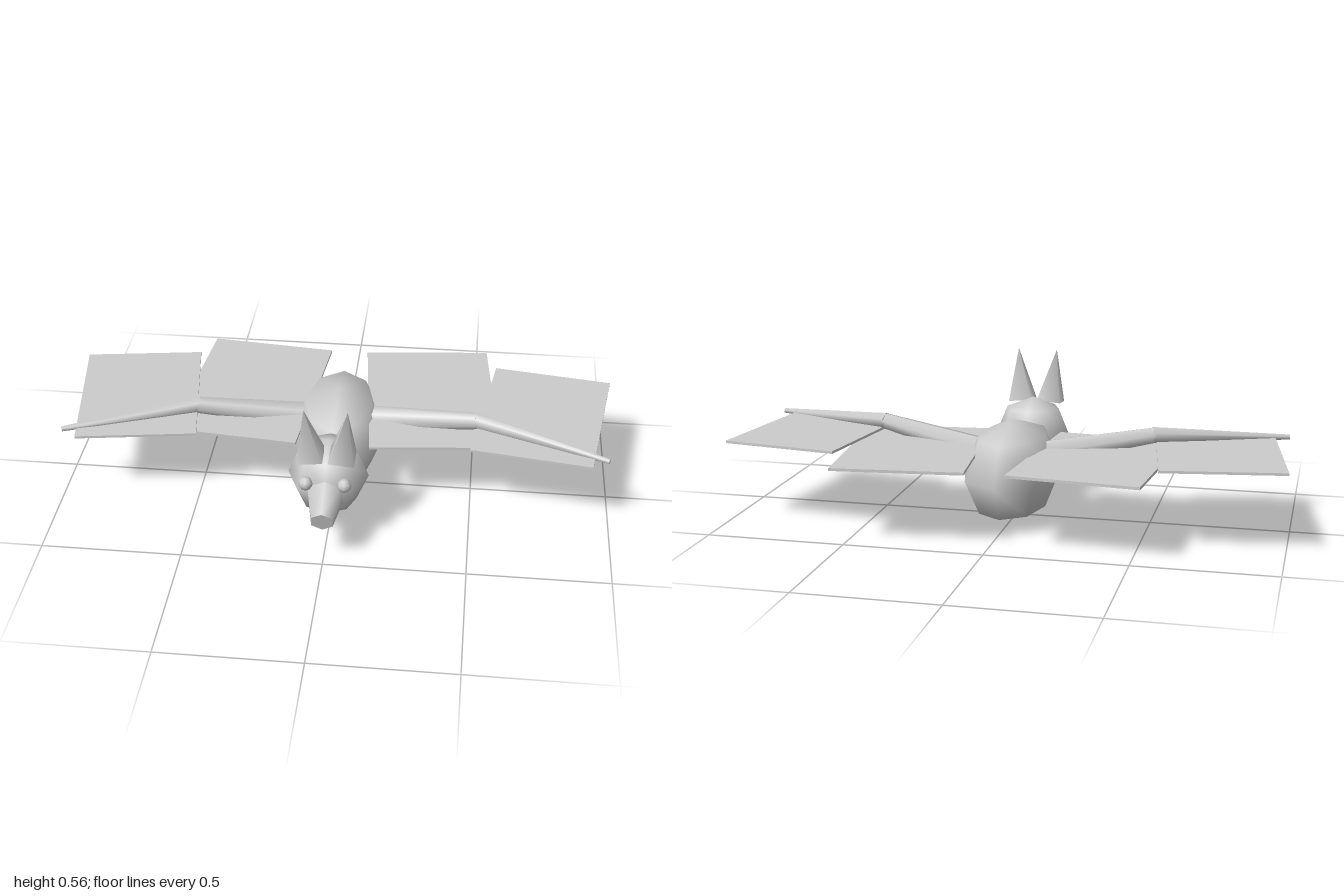
import * as THREE from 'three';

export function createModel() {
  const model = new THREE.Group();
  model.name = 'bat';
  const grey = new THREE.MeshStandardMaterial({ color: 0xcccccc });
  grey.name = 'plain grey';

  const add = (name, geometry, x, y, z) => {
    const mesh = new THREE.Mesh(geometry, grey);
    mesh.name = name;
    mesh.position.set(x, y, z);
    model.add(mesh);
    return mesh;
  };

  // Tapered limb from point a (radius ra) to point b (radius rb)
  const limb = (name, a, b, ra, rb, sides) => {
    const from = new THREE.Vector3(...a), to = new THREE.Vector3(...b);
    const axis = to.clone().sub(from);
    const mid = from.add(to).multiplyScalar(0.5);
    const mesh = add(name, new THREE.CylinderGeometry(rb, ra, axis.length(), sides), mid.x, mid.y, mid.z);
    mesh.quaternion.setFromUnitVectors(new THREE.Vector3(0, 1, 0), axis.normalize());
    return mesh;
  };

  // Body and head: coarse eight-sided balls
  add('body', new THREE.SphereGeometry(1, 8, 4), 0, 0.187, -0.06).scale.set(0.175, 0.187, 0.295);
  add('head', new THREE.SphereGeometry(0.142, 8, 4), 0, 0.242, 0.29);

  // Snout, sloping down
  limb('snout', [0, 0.232, 0.362], [0, 0.189, 0.506], 0.078, 0.0425, 6);

  for (const s of [1, -1]) {
    const side = s > 0 ? 'left' : 'right';

    add(side + 'Eye', new THREE.SphereGeometry(0.025, 8, 6), s * 0.067, 0.275, 0.405);

    // Four-sided ear, leaning outward and forward
    const earShape = new THREE.ConeGeometry(0.064, 0.2, 4);
    earShape.rotateY(Math.PI / 4);
    const ear = add(side + 'Ear', earShape, s * 0.065, 0.456, 0.365);
    ear.rotation.set(0.1, 0, -s * 0.1);

    // Wing arm
    limb(side + 'UpperArm', [s * 0.06, 0.243, -0.066], [s * 0.51, 0.322, 0.026], 0.051, 0.031, 6);
    limb(side + 'Forearm', [s * 0.5, 0.323, 0.022], [s * 0.977, 0.299, 0.2], 0.031, 0.01, 6);

    // Flat wing panels
    const inner = add(side + 'InnerWing', new THREE.BoxGeometry(0.467, 0.01, 0.655), s * 0.334, 0.274, -0.177);
    inner.rotation.y = s * 0.095;
    const outer = add(side + 'OuterWing', new THREE.BoxGeometry(0.433, 0.009, 0.566), s * 0.746, 0.295, -0.069);
    outer.rotation.y = -s * 0.148;
  }

  return model;
}
